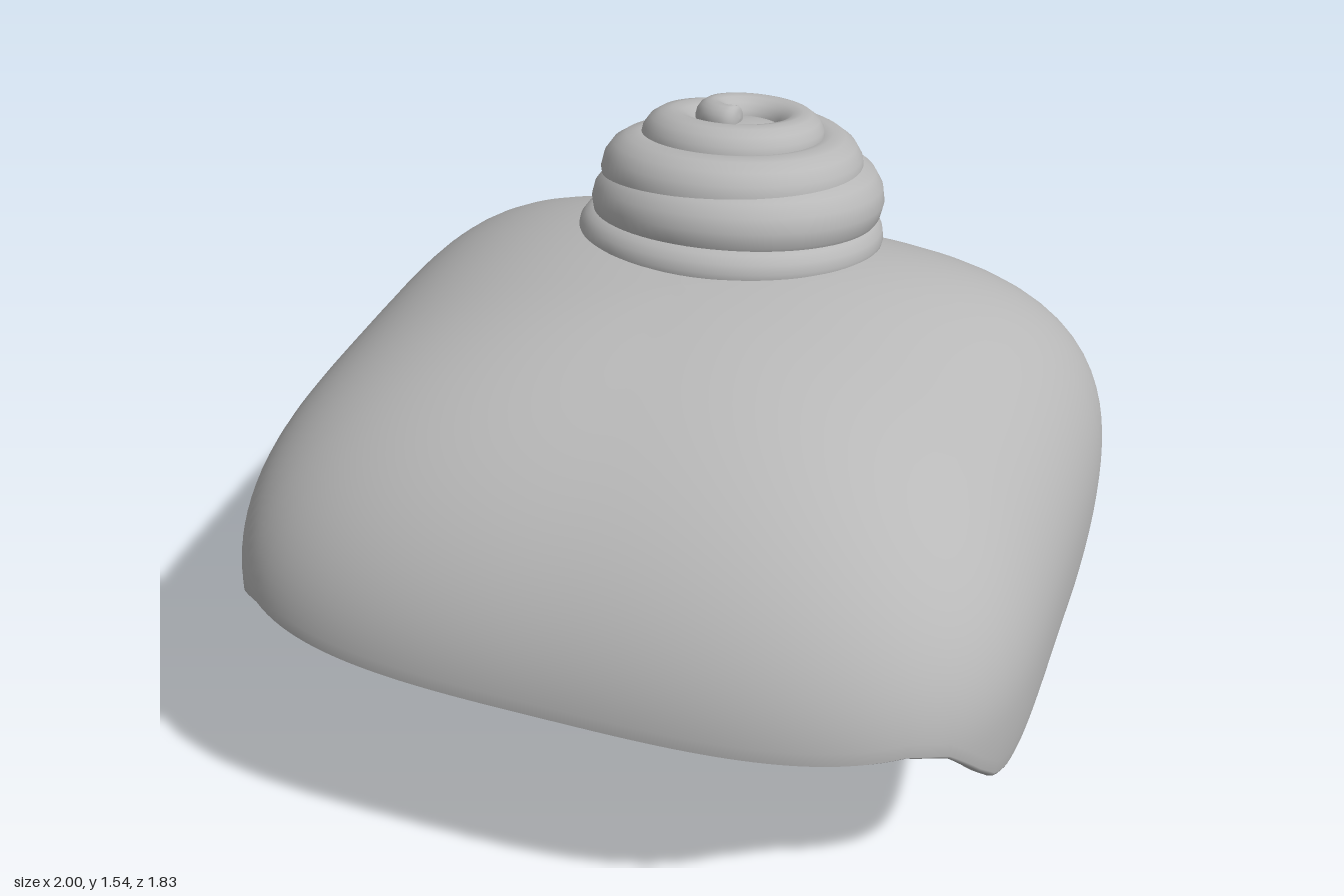
import * as THREE from 'three';

const hairGrey = new THREE.MeshStandardMaterial({ color: 0xb8b8b8, side: THREE.DoubleSide });
hairGrey.name = 'hair grey';

// Smooth surface from rows of points, closed around the columns
function loft(rows, cols, pointAt) {
  const pos = [], index = [];
  for (let i = 0; i < rows; i++)
    for (let j = 0; j < cols; j++) pos.push(...pointAt(i, j));
  for (let i = 0; i < rows - 1; i++)
    for (let j = 0; j < cols; j++) {
      const k = (j + 1) % cols;
      const a = i * cols + j, b = (i + 1) * cols + j, c = i * cols + k, d = (i + 1) * cols + k;
      index.push(a, b, c, b, d, c);
    }
  const geo = new THREE.BufferGeometry();
  geo.setAttribute('position', new THREE.Float32BufferAttribute(pos, 3));
  geo.setIndex(index);
  geo.computeVertexNormals();
  return geo;
}

// ---- Cap: squarish dome whose lower edge follows the hem ----
const BELT = 0.6, DOME = 0.665, HALF_X = 1, HALF_Z = 0.917;
const WALL_X = 0.08, WALL_Z = 0.06;

// Hem height along z: nape, corner notch, side lock, temple, fringe
const HEM = [[-0.8, 0.003], [-0.72, 0.012], [-0.67, 0.03], [-0.61, 0.08], [-0.56, 0.135], [-0.535, 0.22],
  [-0.51, 0.335], [-0.45, 0.345], [-0.36, 0.355], [-0.28, 0.395], [-0.15, 0.425], [0, 0.435], [0.2, 0.415],
  [0.34, 0.385], [0.44, 0.38], [0.52, 0.415], [0.6, 0.49], [0.7, 0.6], [0.77, 0.635]];

function hemAt(z) {
  if (z <= HEM[0][0]) return HEM[0][1];
  for (let i = 1; i < HEM.length; i++) {
    const [z0, y0] = HEM[i - 1], [z1, y1] = HEM[i];
    if (z <= z1) return y0 + (y1 - y0) * (z - z0) / (z1 - z0);
  }
  return 0.635;
}

// Point on the cap for a bearing and a drop angle from the crown;
// the back is boxier than the front, both in plan and in profile
function capPoint(bearing, phi) {
  const dx = Math.sin(bearing), dz = Math.cos(bearing);
  const below = phi > Math.PI / 2;
  const y = below ? BELT - (phi - Math.PI / 2) * DOME : BELT + DOME * Math.cos(phi);
  const m = 2.3 - 0.25 * dz;
  const s = below ? 1 - 0.36 * (BELT - y) ** 2 : (1 - Math.cos(phi) ** m) ** (1 / m);
  const n = 2.8 - 0.2 * dz + (1.5 - 0.85 * dz) * Math.min(1, s * s);
  const r = s / (Math.abs(dx) ** n + Math.abs(dz) ** n) ** (1 / n);
  return [dx * r * HALF_X, y, dz * r * HALF_Z, s];
}

// Drop angle at which a bearing meets the hem, leaving room for the rolled rim
function hemPhi(bearing, roll) {
  let lo = 0.5, hi = Math.PI / 2 + BELT / DOME;
  for (let k = 0; k < 30; k++) {
    const mid = (lo + hi) / 2, p = capPoint(bearing, mid);
    if (p[1] > hemAt(p[2]) + roll) lo = mid; else hi = mid;
  }
  return lo;
}

function buildCap() {
  const cols = 256, outer = 32, rim = 5, total = outer * 2 + rim;
  // per column: bearing, outward direction in plan, rim roll and hem angle
  const columns = Array.from({ length: cols }, (_, j) => {
    const a = j / cols * Math.PI * 2;
    const nx = Math.sin(a) ** 3, nz = Math.cos(a) ** 3, len = Math.hypot(nx, nz);
    const roll = 0.006 + 0.018 * (nx / len) ** 2;
    return { a, nx: nx / len, nz: nz / len, roll, end: hemPhi(a, roll) };
  });
  const geo = loft(total, cols, (i, j) => {
    const { a, nx, nz, roll, end } = columns[j];
    // outer wall down, rounded rim, inner wall up
    let u = 1, inset = 0, dip = 0;
    if (i < outer) u = i / (outer - 1);
    else if (i < outer + rim) {
      const v = (i - outer + 1) / (rim + 1);
      inset = (1 - Math.cos(v * Math.PI)) / 2;
      dip = Math.sin(v * Math.PI) * roll;
    } else { u = (total - 1 - i) / (outer - 1); inset = 1; }
    const [x, y, z, s] = capPoint(a, u * end);
    const sink = y > BELT ? (y - BELT) * 0.06 * inset : 0;
    const raise = 0.015 * inset * u;
    return [
      x - nx * WALL_X * inset * s,
      Math.max(0, y - sink - dip + raise),
      z - nz * WALL_Z * inset * s,
    ];
  });
  const cap = new THREE.Mesh(geo, hairGrey);
  cap.name = 'hairCap';
  return cap;
}

// ---- Bun: one tapering strand coiled from the base up to the centre ----
function buildBun() {
  // ring radius, height and strand thickness at every half turn
  const keys = [[0.365, 0.025, 0.055], [0.335, 0.045, 0.06], [0.305, 0.08, 0.07], [0.28, 0.14, 0.095],
    [0.272, 0.168, 0.1], [0.25, 0.21, 0.09], [0.21, 0.25, 0.085], [0.165, 0.288, 0.07],
    [0.13, 0.318, 0.055], [0.03, 0.342, 0.036]];
  const path = new THREE.CatmullRomCurve3(keys.map(k => new THREE.Vector3(...k)), false, 'catmullrom', 0.5);
  const rows = 320, sides = 16;
  const strandGeo = loft(rows, sides, (i, j) => {
    const u = i / (rows - 1), k = path.getPoint(u);
    const turn = u * (keys.length - 1) * Math.PI;
    const end = Math.min(1, Math.min(i, rows - 1 - i) / 5);
    const thick = k.z * Math.sqrt(1 - (1 - end) ** 2);
    const v = j / sides * Math.PI * 2;
    const R = k.x + Math.cos(v) * thick;
    return [-Math.sin(turn) * R, k.y + Math.sin(v) * thick, -Math.cos(turn) * R];
  });
  const strand = new THREE.Mesh(strandGeo, hairGrey);
  strand.name = 'coiledStrand';

  // solid filling behind the coils
  const core = new THREE.Mesh(new THREE.SphereGeometry(1, 32, 20), hairGrey);
  core.name = 'bunCore';
  core.scale.set(0.3, 0.24, 0.3);
  core.position.y = 0.095;

  const bun = new THREE.Group();
  bun.name = 'hairBun';
  bun.add(strand, core);
  bun.position.set(-0.01, 1.16, -0.42);
  bun.rotation.x = -0.19;
  return bun;
}

export function createModel() {
  const model = new THREE.Group();
  model.name = 'hairWithBun';
  model.add(buildCap(), buildBun());
  return model;
}
